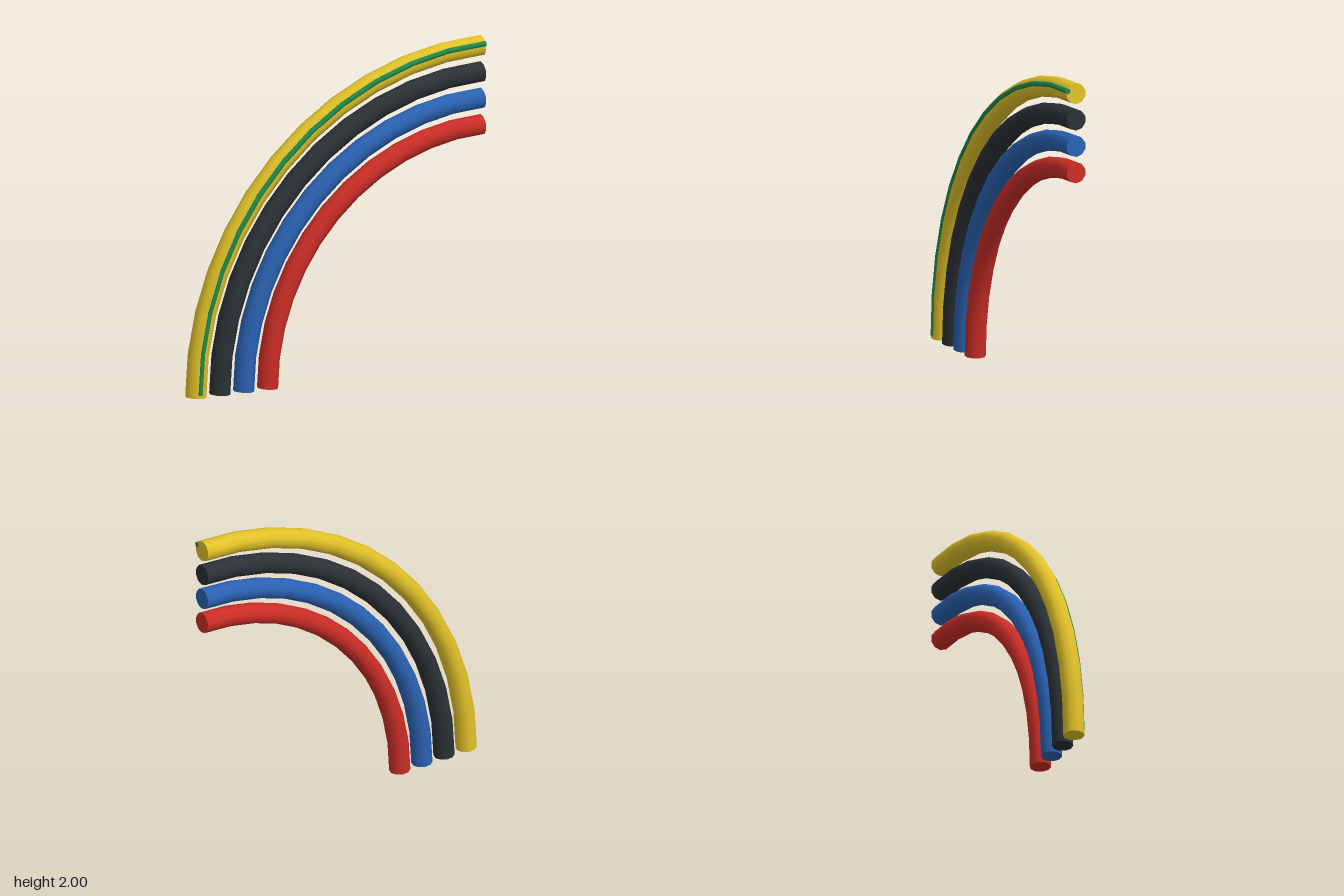
import * as THREE from 'three';

const STEPS = 12;          // straight pieces in each quarter arc
const CX = 0.996, CY = 0.004; // shared arc centre

// Closed rod bent into a quarter arc; the end faces sit square to the end pieces.
function bentRod(radius, thickness, sides) {
  const g = new THREE.CylinderGeometry(thickness, thickness, 1, sides, STEPS);
  g.rotateY(Math.PI / 2);
  const p = g.attributes.position, n = g.attributes.normal;
  const half = Math.PI / 4 / STEPS;
  const v = new THREE.Vector3(), m = new THREE.Vector3(), axis = new THREE.Vector3(0, 0, 1);
  for (let i = 0; i < p.count; i++) {
    v.fromBufferAttribute(p, i);
    m.fromBufferAttribute(n, i);
    const a = (v.y + 0.5) * Math.PI / 2;
    const tilt = THREE.MathUtils.clamp(a, half, Math.PI / 2 - half);
    v.y = 0;
    v.applyAxisAngle(axis, -tilt);
    m.applyAxisAngle(axis, -tilt);
    p.setXYZ(i, CX - radius * Math.cos(a) + v.x, CY + radius * Math.sin(a) + v.y, v.z);
    n.setXYZ(i, m.x, m.y, m.z);
  }
  return g;
}

export function createModel() {
  const model = new THREE.Group();
  model.name = 'cableArcs';

  const add = (name, geometry, color, y, z) => {
    const mesh = new THREE.Mesh(geometry, new THREE.MeshStandardMaterial({ color }));
    mesh.name = name;
    mesh.position.set(0, y, z);
    model.add(mesh);
  };

  // Four nested cables, outermost first
  const cables = [
    ['yellowCable', 0xe2c229],
    ['blackCable', 0x2b3135],
    ['blueCable', 0x2a62b3],
    ['redCable', 0xcc2d26],
  ];
  cables.forEach(([name, color], i) =>
    add(name, bentRod(1.933 - 0.162 * i, 0.0635, 10), color, 0, -0.003));

  // Thin stripe along the front of the outer cable
  add('greenStripe', bentRod(1.933, 0.017, 8), 0x1f8a4c, 0.02, 0.05);

  return model;
}
